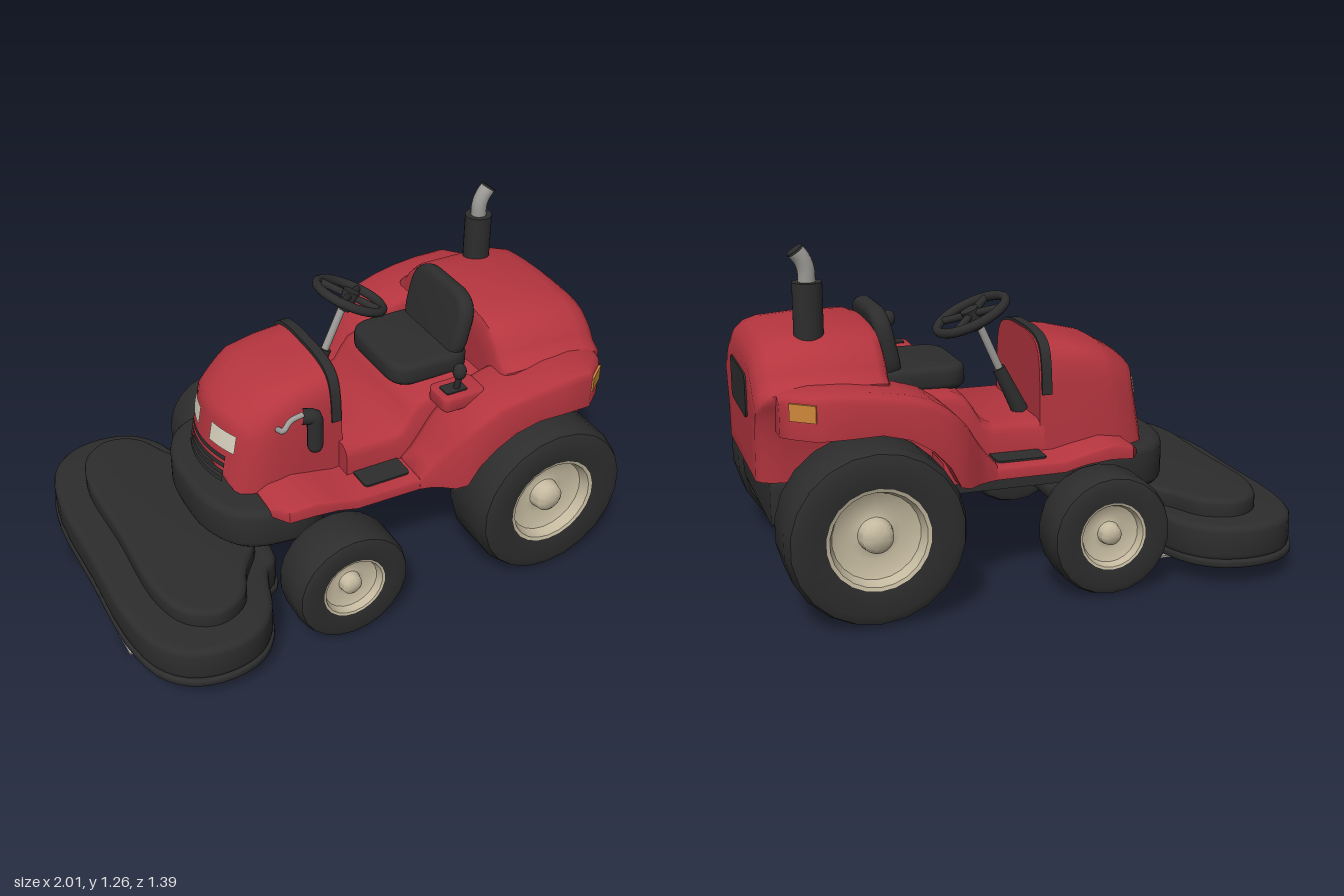
import * as THREE from 'three';
import { toCreasedNormals } from 'three/addons/utils/BufferGeometryUtils.js';

const paint = (name, color) => {
  const m = new THREE.MeshStandardMaterial({ color });
  m.name = name;
  return m;
};
const V = (x, y, z) => new THREE.Vector3(x, y, z);

// Ring in the plane x from a half outline [z, y] running bottom corner to top centre
function ring(x, half, cz = 0) {
  const left = half.map(([z, y]) => V(x, y, cz + z));
  const right = half.slice(0, -1).reverse().map(([z, y]) => V(x, y, cz - z));
  return [...left, ...right];
}

// Smooth half outline, stretched in width and above its base height
function stretched(points, sz, sy, base) {
  const curve = new THREE.SplineCurve(points.map(p => new THREE.Vector2(...p)));
  return curve.getPoints(18).map(p => [p.x * sz, base + (p.y - base) * sy]);
}

// Half outline of a box with rounded upper corners
const boxHalf = (w, y0, y1, r) => [[w, y0], [w, y1 - r], [w - 0.3 * r, y1 - 0.3 * r], [w - r, y1], [0, y1]];

// Skin over rings ordered by rising x; the ends close in shrinking rings
function loft(rings, bend, crease = 0.8) {
  const shrink = (r, s) => {
    const ys = r.map(p => p.y), zs = r.map(p => p.z);
    const c = V(r[0].x, (Math.min(...ys) + Math.max(...ys)) / 2, (Math.min(...zs) + Math.max(...zs)) / 2);
    return r.map(p => c.clone().lerp(p, s));
  };
  const first = rings[0], last = rings[rings.length - 1], steps = [0, 0.25, 0.5, 0.75];
  const all = [...steps.map(s => shrink(first, s)), ...rings, ...steps.reverse().map(s => shrink(last, s))];
  const n = first.length, index = [];
  const pts = all.flat();
  if (bend) pts.forEach(bend);
  for (let i = 0; i < all.length - 1; i++) for (let j = 0; j < n; j++) {
    const a = i * n + j, b = i * n + (j + 1) % n;
    index.push(a, a + n, b, b, a + n, b + n);
  }
  const g = new THREE.BufferGeometry().setFromPoints(pts);
  g.setIndex(index);
  return toCreasedNormals(g, crease);
}

// Rounded rectangle slab, centred, facing z
function slab(w, h, r, depth, bevel = 0) {
  const s = new THREE.Shape(), x = w / 2 - bevel, y = h / 2 - bevel;
  s.moveTo(-x + r, -y).lineTo(x - r, -y).quadraticCurveTo(x, -y, x, -y + r).lineTo(x, y - r)
    .quadraticCurveTo(x, y, x - r, y).lineTo(-x + r, y).quadraticCurveTo(-x, y, -x, y - r)
    .lineTo(-x, -y + r).quadraticCurveTo(-x, -y, -x + r, -y);
  return extrude(s, depth, bevel).translate(0, 0, -depth / 2);
}
function extrude(shape, depth, bevel) {
  const g = new THREE.ExtrudeGeometry(shape, {
    depth: depth - 2 * bevel, bevelEnabled: bevel > 0, bevelSize: bevel, bevelThickness: bevel, bevelSegments: 3, curveSegments: 8
  }).translate(0, 0, bevel);
  return toCreasedNormals(g, 0.7);
}

// Plan outline [x, z] of one half, mirrored in z and raised from y0 to y1
function planSolid(half, y0, y1, bevel) {
  const pts = [...half, ...half.slice(1, -1).reverse().map(([x, z]) => [x, -z])].map(p => V(p[0], p[1], 0));
  const curve = new THREE.CatmullRomCurve3(pts, true);
  const shape = new THREE.Shape(curve.getPoints(64).slice(0, -1).map(p => new THREE.Vector2(p.x, p.y)));
  return extrude(shape, y1 - y0, bevel).rotateX(Math.PI / 2).translate(0, y1, 0);
}

// Cylinder between two points
function rod(a, b, r0, r1 = r0) {
  const d = b.clone().sub(a);
  const g = new THREE.CylinderGeometry(r1, r0, d.length(), 20);
  g.applyQuaternion(new THREE.Quaternion().setFromUnitVectors(V(0, 1, 0), d.normalize()));
  return g.translate((a.x + b.x) / 2, (a.y + b.y) / 2, (a.z + b.z) / 2);
}
const pipe = (pts, r) => new THREE.TubeGeometry(new THREE.CatmullRomCurve3(pts), 14, r, 12);

export function createModel() {
  const red = paint('bodyRed', 0xb5353f), black = paint('black', 0x2d2d2d), cream = paint('rimCream', 0xc4b99f);
  const metal = paint('metal', 0x9c9b97), orange = paint('lampOrange', 0xcf883a), glass = paint('headlightGlass', 0xd6d0bd);
  metal.side = glass.side = THREE.DoubleSide;
  const model = new THREE.Group();
  model.name = 'ridingMower';
  const add = (name, geo, mat, x = 0, y = 0, z = 0, parent = model) => {
    const m = new THREE.Mesh(geo, mat);
    m.name = name;
    m.position.set(x, y, z);
    parent.add(m);
    return m;
  };

  // Hood: the nose leans back and bows round at the sides
  const hoodZ = -0.03;
  const lean = (y, z) => (y - 0.46) * 0.18 + ((z - hoodZ) / 0.2) ** 2 * 0.05;
  const bendNose = p => { p.x += THREE.MathUtils.clamp((-0.3 - p.x) / 0.2, 0, 1) * lean(p.y, p.z); };
  const hoodHalf = [[0.27, 0.44], [0.265, 0.6], [0.255, 0.74], [0.235, 0.81], [0.19, 0.85], [0.1, 0.868], [0, 0.87]];
  const hoodRings = [[-0.53, 0.85, 0.66], [-0.515, 0.9, 0.71], [-0.48, 0.95, 0.78], [-0.43, 0.98, 0.84], [-0.34, 1, 0.92],
    [-0.2, 0.99, 0.99], [-0.055, 0.95, 1.04]].map(([x, sz, sy]) => ring(x, stretched(hoodHalf, sz, sy, 0.44), hoodZ));
  add('hood', loft(hoodRings, bendNose), red);
  const bandHalf = [[0.262, 0.66], ...hoodHalf.slice(2)];
  add('dashBand', loft([-0.1, -0.062].map(x => ring(x, stretched(bandHalf, 0.985, 1.06, 0.44), hoodZ))), black);

  // Headlights and grille follow the nose surface
  const nosePatch = (y0, y1, z0, z1) => {
    const g = new THREE.PlaneGeometry(z1 - z0, y1 - y0, 10, 4).rotateY(-Math.PI / 2).translate(0, (y0 + y1) / 2, (z0 + z1) / 2);
    const p = g.attributes.position;
    for (let i = 0; i < p.count; i++) p.setX(i, -0.535 + lean(p.getY(i), p.getZ(i)));
    g.computeVertexNormals();
    return g;
  };
  for (const s of [-1, 1]) {
    const a = hoodZ + s * 0.05, b = hoodZ + s * 0.185;
    add('headlight', nosePatch(0.605, 0.68, Math.min(a, b), Math.max(a, b)), glass);
  }
  for (let i = 0; i < 4; i++) add('grilleSlot', nosePatch(0.472 + i * 0.03, 0.49 + i * 0.03, hoodZ - 0.15, hoodZ + 0.15), black);

  // Footboards, centre tunnel and seat base
  const boards = [[-0.41, 0.36, 0.44, 0.46], [-0.37, 0.42, 0.44, 0.49], [-0.28, 0.435, 0.45, 0.505], [-0.18, 0.435, 0.44, 0.485],
    [-0.1, 0.435, 0.42, 0.465], [0.2, 0.44, 0.42, 0.465], [0.36, 0.44, 0.42, 0.5]];
  add('footboards', loft(boards.map(([x, w, a, b]) => ring(x, boxHalf(w, a, b, 0.015)))), red);
  const tunnel = [[-0.07, 0.58], [0.13, 0.58], [0.17, 0.6], [0.2, 0.65], [0.23, 0.69], [0.28, 0.71], [0.6, 0.72]];
  add('seatBase', loft(tunnel.map(([x, y]) => ring(x, boxHalf(0.29, 0.42, y, 0.04)))), red);
  for (const s of [-1, 1]) add('footPad', slab(0.19, 0.11, 0.02, 0.008).rotateX(-Math.PI / 2), black, 0.05, 0.468, s * 0.335);

  // Rear engine cowl
  const cowlHalf = [[0.345, 0.46], [0.36, 0.62], [0.39, 0.74], [0.41, 0.795], [0.365, 0.83], [0.33, 0.88], [0.25, 0.94], [0.12, 0.96], [0, 0.965]];
  const cowl = [[0.53, 0.94, 0.93], [0.54, 0.97, 0.98], [0.57, 1, 1], [0.75, 1, 1], [0.89, 1, 0.98], [0.94, 0.98, 0.95], [0.975, 0.93, 0.89], [0.994, 0.86, 0.79]];
  add('engineCowl', loft(cowl.map(([x, sz, sy]) => ring(x, stretched(cowlHalf, sz, sy, 0.46)))), red);
  add('rearGrille', slab(0.34, 0.16, 0.03, 0.008).rotateY(Math.PI / 2), black, 0.996, 0.73, 0);

  // Rear fenders: x, top height, outer z; the underside follows the wheel
  const fender = [[0.16, 0.48, 0.44], [0.2, 0.52, 0.45], [0.24, 0.575, 0.47], [0.28, 0.635, 0.5], [0.32, 0.68, 0.52], [0.36, 0.715, 0.53],
    [0.42, 0.755, 0.54], [0.5, 0.78, 0.545], [0.6, 0.797, 0.55], [0.7, 0.808, 0.55], [0.82, 0.81, 0.55], [0.9, 0.8, 0.485], [0.93, 0.785, 0.45]];
  const arch = x => x > 0.64 ? 0.655 : Math.max(0.42, 0.32 + Math.sqrt(Math.max(0, 0.34 ** 2 - (x - 0.64) ** 2)));
  for (const s of [-1, 1]) {
    const rings = fender.map(([x, top, out]) => ring(x, boxHalf((out - 0.28) / 2, arch(x), top, 0.035), s * (out + 0.28) / 2));
    add('rearFender', loft(rings), red);
    add('tailLamp', new THREE.BoxGeometry(0.1, 0.06, 0.009), orange, 0.862, 0.75, s * 0.518).rotation.y = s * 0.68;
  }

  // Chassis, bumper and axles
  add('chassis', new THREE.BoxGeometry(0.8, 0.1, 0.6), black, 0, 0.385, 0);
  add('rearHousing', slab(0.66, 0.19, 0.03, 0.6, 0.015).rotateY(Math.PI / 2), black, 0.65, 0.38, 0);
  add('bumper', planSolid([[-0.58, 0], [-0.565, 0.16], [-0.5, 0.28], [-0.4, 0.325], [-0.22, 0.31], [-0.2, 0]], 0.29, 0.455, 0.03), black);
  add('frontAxle', rod(V(-0.21, 0.215, -0.46), V(-0.21, 0.215, 0.46), 0.045), black);
  add('rearAxle', rod(V(0.64, 0.32, -0.42), V(0.64, 0.32, 0.42), 0.045), black);

  // Wheels
  const lathe = pts => toCreasedNormals(new THREE.LatheGeometry(pts.map(p => new THREE.Vector2(...p)), 22).rotateX(Math.PI / 2), 0.75);
  const wheel = (name, x, z, R, h, rim) => {
    const g = new THREE.Group();
    g.name = name;
    g.position.set(x, R, z);
    if (z < 0) g.rotation.y = Math.PI;
    add('tyre', lathe([[0, -0.9 * h], [0.55 * R, -0.97 * h], [0.85 * R, -h], [0.95 * R, -0.9 * h], [R, -0.6 * h], [R, 0.6 * h],
      [0.95 * R, 0.9 * h], [0.85 * R, h], [rim, 0.9 * h]]), black, 0, 0, 0, g);
    add('rim', lathe([[rim, 0.9 * h], [0.93 * rim, 0.87 * h], [0.85 * rim, 0.6 * h], [0.5 * rim, 0.4 * h], [0.34 * rim, 0.45 * h],
      [0.3 * rim, 0.75 * h], [0.2 * rim, 0.85 * h], [0, 0.88 * h]]), cream, 0, 0, 0, g);
    model.add(g);
  };
  for (const s of [-1, 1]) {
    wheel('frontWheel', -0.21, s * 0.53, 0.226, 0.1, 0.125);
    wheel('rearWheel', 0.64, s * 0.5, 0.318, 0.14, 0.182);
  }

  // Cutting deck with four skids
  const deck = [[-1, 0], [-0.998, 0.38], [-0.95, 0.57], [-0.86, 0.66], [-0.73, 0.688], [-0.6, 0.655], [-0.52, 0.57], [-0.475, 0.45], [-0.44, 0.37], [-0.39, 0.33], [-0.37, 0]];
  const inset = (sx, sz) => deck.map(([x, z]) => [-0.7 + (x + 0.7) * sx, z * sz]);
  add('deckFlange', planSolid(deck, 0.072, 0.102, 0.008), black);
  add('deckBody', planSolid(inset(0.93, 0.96), 0.09, 0.225, 0.025), black);
  add('deckTop', planSolid([[-0.86, 0], [-0.86, 0.36], [-0.81, 0.5], [-0.72, 0.55], [-0.62, 0.51], [-0.55, 0.38], [-0.46, 0.25], [-0.44, 0]], 0.2, 0.29, 0.02), black);
  for (const x of [-0.9, -0.6]) for (const s of [-1, 1]) {
    add('skidPost', new THREE.CylinderGeometry(0.07, 0.055, 0.07, 12), black, x + 0.02, 0.042, s * 0.265);
    add('skidPlate', new THREE.BoxGeometry(0.18, 0.008, 0.12), metal, x, 0.004, s * 0.285);
  }

  // Seat
  add('seatCushion', slab(0.34, 0.4, 0.07, 0.09, 0.025).rotateX(Math.PI / 2), black, 0.36, 0.745, -0.01);
  add('seatBack', slab(0.39, 0.29, 0.09, 0.065, 0.025).rotateY(Math.PI / 2), black, 0.488, 0.87, -0.01).rotation.z = -0.22;

  // Steering
  const sz = -0.13;
  add('columnBoot', rod(V(-0.03, 0.58, sz), V(0.055, 0.75, sz), 0.032, 0.024), black);
  add('steeringColumn', rod(V(0.04, 0.72, sz), V(0.13, 0.92, sz), 0.015), metal);
  const steering = new THREE.Group();
  steering.name = 'steeringWheel';
  steering.position.set(0.16, 0.96, sz);
  steering.rotation.z = -0.44;
  add('wheelRim', new THREE.TorusGeometry(0.137, 0.018, 10, 32).rotateX(Math.PI / 2), black, 0, 0, 0, steering);
  add('wheelHub', new THREE.CylinderGeometry(0.035, 0.025, 0.08, 16), black, 0, -0.02, 0, steering);
  for (let i = 0; i < 4; i++) {
    const a = Math.PI / 4 + i * Math.PI / 2;
    add('spoke', rod(V(0, 0, 0), V(Math.cos(a) * 0.135, 0, Math.sin(a) * 0.135), 0.014), black, 0, 0, 0, steering);
  }
  model.add(steering);

  // Control lever
  add('leverBase', slab(0.18, 0.13, 0.02, 0.06, 0.01).rotateX(Math.PI / 2), red, 0.36, 0.735, 0.345);
  add('leverSlot', slab(0.09, 0.06, 0.01, 0.008).rotateX(Math.PI / 2), black, 0.34, 0.766, 0.35);
  add('lever', rod(V(0.35, 0.75, 0.35), V(0.35, 0.85, 0.375), 0.012), black);
  add('leverKnob', new THREE.SphereGeometry(0.026, 14, 10).scale(1, 1.3, 1), black, 0.343, 0.856, 0.38);

  // Rear exhaust stack
  add('exhaustMuffler', new THREE.CylinderGeometry(0.053, 0.053, 0.2, 20), black, 0.775, 1.03, -0.205);
  add('exhaustPipe', pipe([V(0.775, 1.12, -0.205), V(0.777, 1.175, -0.205), V(0.79, 1.21, -0.205), V(0.813, 1.24, -0.205)], 0.031), metal);
  add('exhaustOpening', rod(V(0.81, 1.236, -0.205), V(0.815, 1.243, -0.205), 0.032), black);

  // Side intake beside the hood
  add('intakeBody', pipe([V(-0.19, 0.63, 0.265), V(-0.19, 0.72, 0.265), V(-0.192, 0.755, 0.265), V(-0.24, 0.765, 0.255)], 0.03), black);
  add('intakeEnd', new THREE.SphereGeometry(0.03, 12, 8), black, -0.19, 0.63, 0.265);
  add('intakePipe', pipe([V(-0.23, 0.768, 0.25), V(-0.28, 0.755, 0.25), V(-0.315, 0.73, 0.262), V(-0.32, 0.715, 0.225)], 0.011), metal);
  return model;
}
